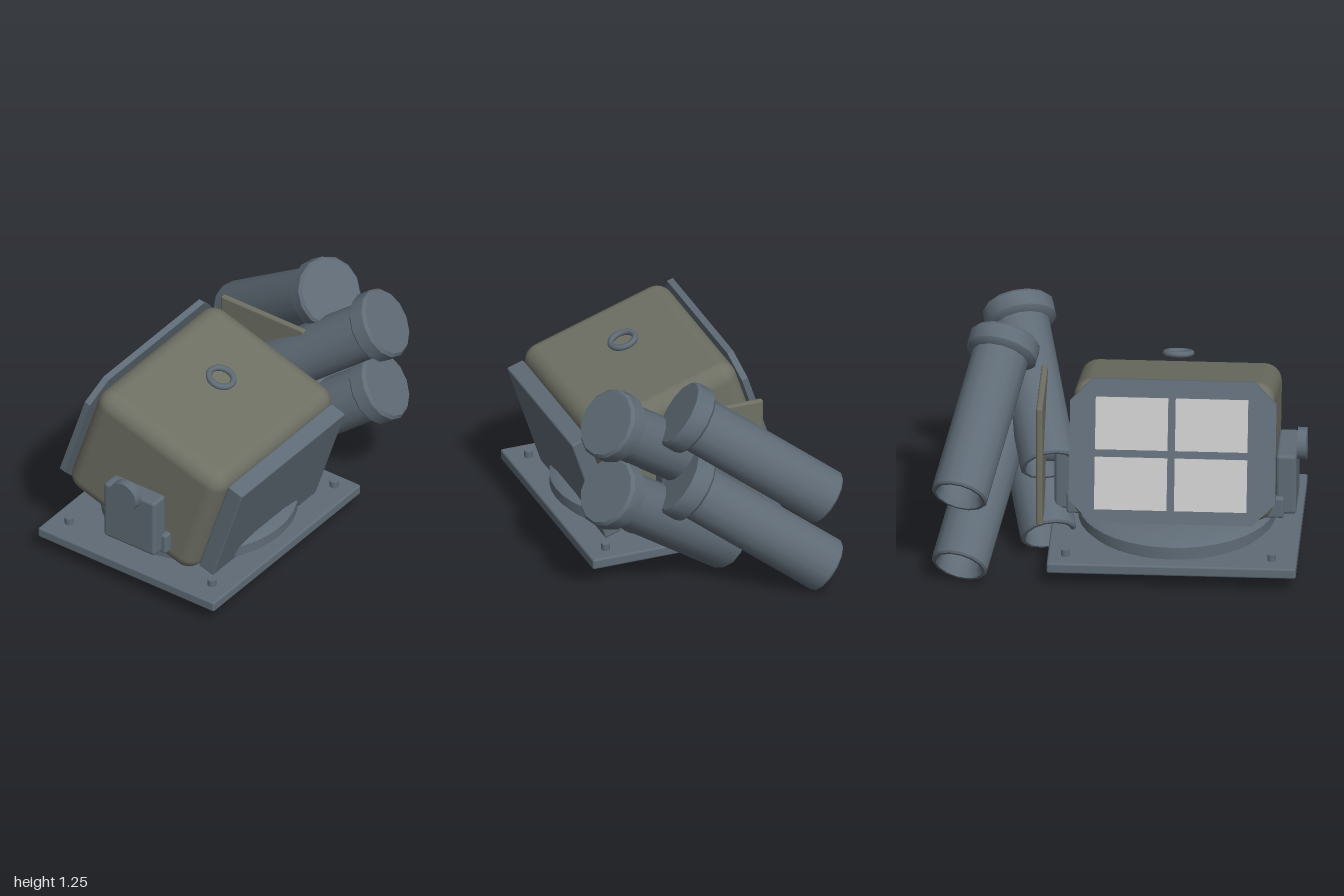
import * as THREE from 'three';
import { toCreasedNormals } from 'three/addons/utils/BufferGeometryUtils.js';
import { RoundedBoxGeometry } from 'three/addons/geometries/RoundedBoxGeometry.js';

const mat = (name, color) => {
  const m = new THREE.MeshStandardMaterial({ color });
  m.name = name;
  return m;
};

export function createModel() {
  const slate = mat('slate metal', 0x5f6b76);
  const olive = mat('olive paint', 0x6f7064);
  const white = mat('pale covers', 0xc4c4c4);
  const root = new THREE.Group();
  root.name = 'decoyLauncher';
  const CX = -0.3; // centre line of the mount

  const add = (parent, name, geometry, material, x = 0, y = 0, z = 0) => {
    const m = new THREE.Mesh(geometry, material);
    m.name = name;
    m.position.set(x, y, z);
    parent.add(m);
    return m;
  };
  const box = (w, h, d) => new THREE.BoxGeometry(w, h, d);
  const rbox = (w, h, d, r) => new RoundedBoxGeometry(w, h, d, 2, r);
  const lathe = (pts, n) => toCreasedNormals(
    new THREE.LatheGeometry(pts.map(([r, y]) => new THREE.Vector2(r, y)), n), 0.6);

  // Base plate with corner bolts and a stepped turntable
  add(root, 'basePlate', rbox(1.34, 0.06, 1.17, 0.012), slate, CX, 0.12, -0.015);
  for (const sx of [-1, 1]) for (const z of [-0.49, 0.46]) {
    add(root, 'bolt', new THREE.CylinderGeometry(0.024, 0.024, 0.045, 10), slate, CX + 0.02 + sx * 0.555, 0.165, z);
  }
  add(root, 'turntable', lathe([[0, 0.14], [0.5, 0.14], [0.5, 0.17], [0.53, 0.18],
    [0.53, 0.235], [0.485, 0.262], [0, 0.262]], 40), slate, CX, 0, -0.015);

  // Yoke brackets on both sides
  for (const s of [-1, 1]) {
    add(root, 'yokeBracket', rbox(0.11, 0.35, 0.34, 0.02), slate, CX + s * 0.595, 0.445, -0.01);
    add(root, 'yokeFoot', rbox(0.12, 0.12, 0.4, 0.015), slate, CX + s * 0.525, 0.32, -0.01);
  }
  const knob = add(root, 'pivotKnob', new THREE.CylinderGeometry(0.088, 0.088, 0.05, 20), slate, -0.975, 0.62, -0.015);
  const axle = add(root, 'plateAxle', new THREE.CylinderGeometry(0.07, 0.07, 0.2, 16), slate, 0.32, 0.55, -0.015);
  knob.rotation.z = axle.rotation.z = Math.PI / 2;

  // Elevated launcher box
  const launcher = new THREE.Group();
  launcher.name = 'launcherBox';
  launcher.rotation.x = 0.314;
  root.add(launcher);
  add(launcher, 'housing', new RoundedBoxGeometry(1.08, 0.75, 0.885, 4, 0.095), olive, CX, 0.585, -0.1925);
  add(launcher, 'frontPanel', rbox(0.94, 0.64, 0.1, 0.01), slate, CX, 0.592, 0.3);

  // Rear frame with chamfered corners
  const hw = 0.555, hh = 0.39, c = 0.12;
  const outline = new THREE.Shape([[hw - c, -hh], [hw, c - hh], [hw, hh - c], [hw - c, hh],
    [c - hw, hh], [-hw, hh - c], [-hw, c - hh], [c - hw, -hh]].map(([x, y]) => new THREE.Vector2(x, y)));
  add(launcher, 'rearFrame', new THREE.ExtrudeGeometry(outline, { depth: 0.035, bevelEnabled: false }),
    slate, CX, 0.584, -0.667);

  // Four cell covers
  for (const sx of [-1, 1]) for (const sy of [-1, 1]) {
    add(launcher, 'cellCover', box(0.39, 0.285, 0.009), white, CX + 0.007 + sx * 0.215, 0.572 + sy * 0.163, -0.671);
  }

  // Lifting ring over the roof
  const ring = add(launcher, 'liftingRing', new THREE.TorusGeometry(0.069, 0.017, 8, 24), slate, CX, 1.058, -0.207);
  ring.rotation.x = Math.PI / 2;

  // Side carrier plate
  add(root, 'carrierPlate', rbox(0.035, 0.7, 0.55, 0.012), olive, 0.42, 0.62, -0.115);

  // Splayed launch tubes: capped at the top, hollow at the tail
  const L = 0.988;
  const tubeGeo = lathe([[0, -0.86], [0.115, -0.86], [0.115, -0.95], [0.13, -L], [0.145, -L], [0.155, -L + 0.01],
    [0.155, -0.125], [0.18, -0.115], [0.195, -0.1], [0.195, -0.018], [0.18, 0], [0, 0]], 14);
  const up = new THREE.Vector3(0, 1, 0);
  for (const drop of [0, 0.415]) {
    for (const [x, z, s] of [[0.59, 0.585, 1], [0.63, 0.18, -1]]) {
      const tube = add(root, 'launchTube', tubeGeo, slate, x, 1.11 - drop, z);
      tube.quaternion.setFromUnitVectors(up, new THREE.Vector3(s * 0.21, 0.575, 0.775).normalize());
    }
  }
  return root;
}
